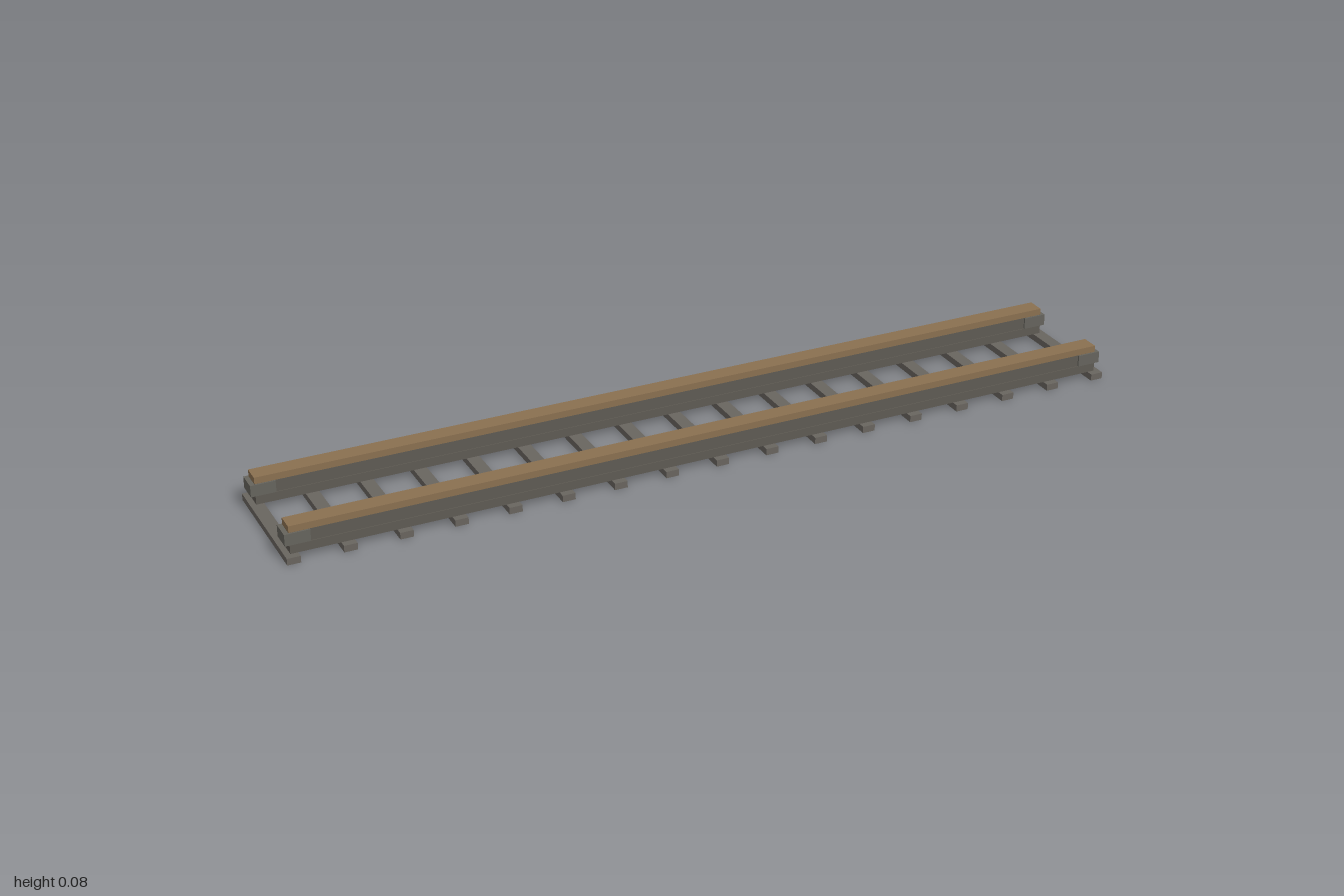
import * as THREE from 'three';

export function createModel() {
  const model = new THREE.Group();
  model.name = 'railTrack';

  const mat = (name, color) => {
    const m = new THREE.MeshStandardMaterial({ color });
    m.name = name;
    return m;
  };
  const railTop = mat('worn brown', 0x8a7050);
  const railSide = mat('dark grey', 0x5f5b54);
  const tieGrey = mat('tie grey', 0x69655f);
  const plateGrey = mat('plate grey', 0x66645d);

  // The straight track lies diagonally, so it is built along x and turned
  const track = new THREE.Group();
  track.name = 'track';
  track.rotation.y = THREE.MathUtils.degToRad(25);
  model.add(track);

  // Box given by its size, centre in plan and bottom height
  const box = (parent, name, material, [w, h, d], x, bottom, z) => {
    const mesh = new THREE.Mesh(new THREE.BoxGeometry(w, h, d), material);
    mesh.name = name;
    mesh.position.set(x, bottom + h / 2, z);
    parent.add(mesh);
  };

  // Cross ties
  const tieCount = 17;
  for (let i = 0; i < tieCount; i++) {
    const x = -1.013 + (2.026 * i) / (tieCount - 1);
    box(track, 'crossTie', tieGrey, [0.031, 0.016, 0.32], x, 0, 0);
  }

  // Two rails: foot, web, running surface and a joint block at each end
  for (const side of [-1, 1]) {
    const rail = new THREE.Group();
    rail.name = side > 0 ? 'frontRail' : 'backRail';
    rail.position.z = side * 0.12;
    track.add(rail);
    box(rail, 'railFoot', railSide, [2.03, 0.021, 0.046], 0, 0.016, 0);
    box(rail, 'railWeb', railSide, [2.03, 0.029, 0.042], 0, 0.037, 0);
    box(rail, 'railHead', railTop, [2.03, 0.016, 0.043], 0, 0.066, 0);
    for (const end of [-1, 1]) {
      box(rail, 'jointBlock', plateGrey, [0.058, 0.028, 0.05], end * 0.997, 0.0375, 0);
    }
  }

  return model;
}
